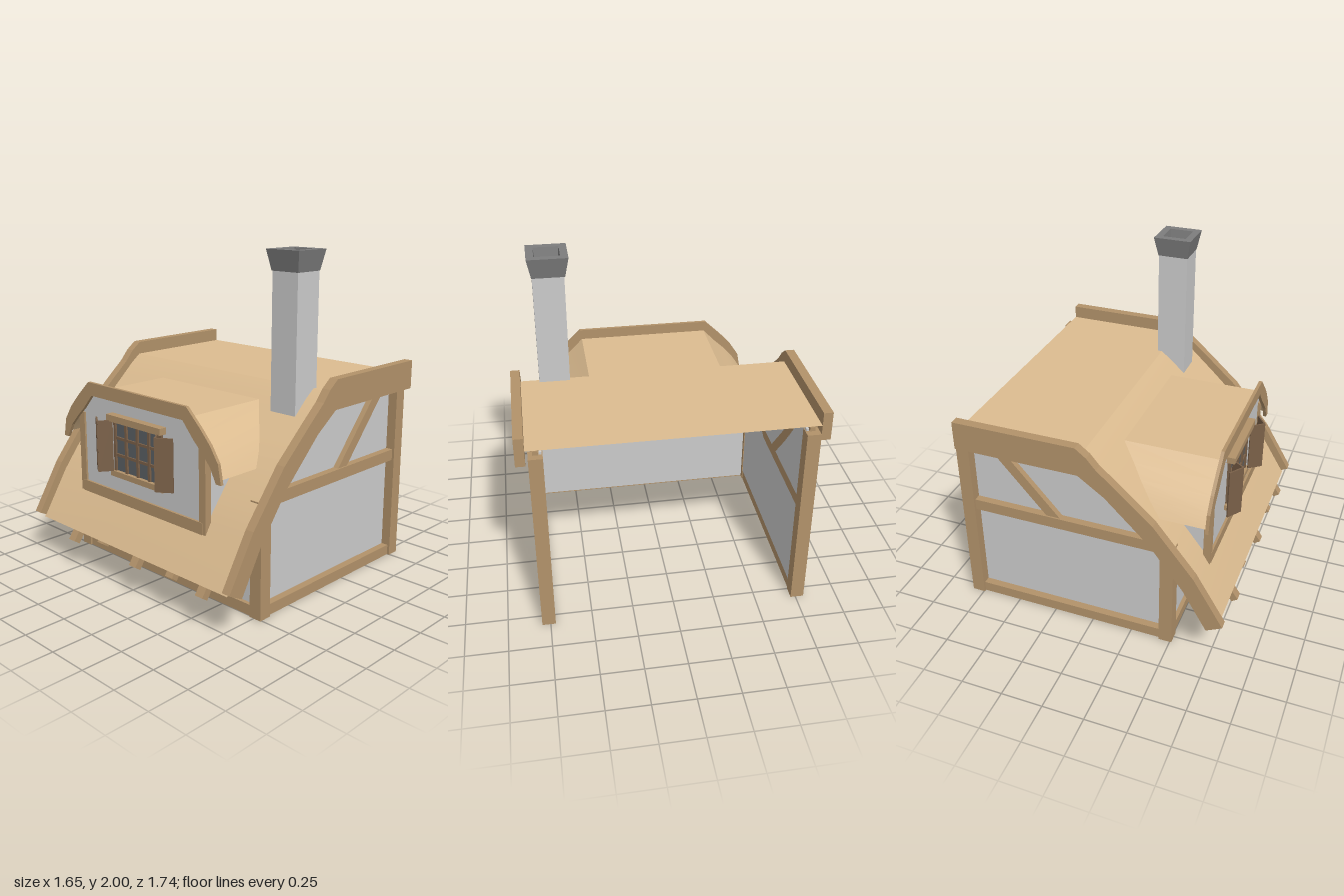
import * as THREE from 'three';

const mat = (color, flat = true) =>
  new THREE.MeshStandardMaterial({ color, flatShading: flat, side: THREE.DoubleSide });
const WALL = mat(0xcccccc), WOOD = mat(0xb2926a), ROOF = mat(0xdcbc90, false);
const DARKWOOD = mat(0x7a6048), CAP = mat(0x7d7d7d), GLASS = mat(0x5a6064);

// Main roof line in x, y from ridge to eave
const ROOF_LINE = [[0.03, 1.215], [-0.035, 1.165], [-0.11, 1.095], [-0.25, 0.965],
  [-0.40, 0.82], [-0.52, 0.67], [-0.62, 0.54], [-0.795, 0.255]];

// x of the main roof at a given height
function roofX(y) {
  for (let i = 1; i < ROOF_LINE.length; i++) {
    const [xa, ya] = ROOF_LINE[i - 1], [xb, yb] = ROOF_LINE[i];
    if (y >= yb) return xa + (xb - xa) * (ya - y) / (ya - yb);
  }
  return -0.795;
}

function mesh(parent, name, geometry, material) {
  const m = new THREE.Mesh(geometry, material);
  m.name = name;
  parent.add(m);
  return m;
}

function box(parent, name, material, x0, x1, y0, y1, z0, z1) {
  const m = mesh(parent, name, new THREE.BoxGeometry(x1 - x0, y1 - y0, Math.abs(z1 - z0)), material);
  m.position.set((x0 + x1) / 2, (y0 + y1) / 2, (z0 + z1) / 2);
  return m;
}

function extrude(points, depth) {
  const shape = new THREE.Shape(points.map(([a, b]) => new THREE.Vector2(a, b)));
  return new THREE.ExtrudeGeometry(shape, { depth, bevelEnabled: false });
}

// Outline in x, y with thickness along z
function slabZ(parent, name, material, points, z0, z1) {
  return mesh(parent, name, extrude(points, Math.abs(z1 - z0)).translate(0, 0, Math.min(z0, z1)), material);
}

// Outline in z, y with thickness along x
function slabX(parent, name, material, points, x0, x1) {
  return mesh(parent, name, extrude(points, x1 - x0).rotateY(-Math.PI / 2).translate(x1, 0, 0), material);
}

// Thin sheet between two rows of points
function sheet(parent, name, material, rowA, rowB) {
  const index = [], n = rowA.length;
  for (let i = 0; i < n - 1; i++) index.push(i, i + 1, n + i, i + 1, n + i + 1, n + i);
  const g = new THREE.BufferGeometry();
  g.setAttribute('position', new THREE.Float32BufferAttribute([...rowA, ...rowB].flat(), 3));
  g.setIndex(index);
  g.computeVertexNormals();
  return mesh(parent, name, g, material);
}

function gable(s) {
  const g = new THREE.Group();
  g.name = s > 0 ? 'frontGable' : 'backGable';
  const inner = 0.725 * s, outer = 0.785 * s;
  slabZ(g, 'gablePanel', WALL, [[-0.47, 0.01], [0.78, 0.01], [0.78, 1.2], [0.02, 1.2],
    [-0.11, 1.085], [-0.40, 0.81], [-0.47, 0.72]], inner, 0.74 * s);
  box(g, 'eavePost', WOOD, -0.51, -0.43, 0, 0.69, 0.72 * s, 0.8 * s);
  box(g, 'ridgePost', WOOD, 0.745, 0.825, 0, 1.185, 0.72 * s, 0.8 * s);
  box(g, 'postTenon', WOOD, 0.75, 0.785, 1.185, 1.21, 0.745 * s, 0.775 * s);
  box(g, 'sillBeam', WOOD, -0.44, 0.75, 0, 0.065, inner, outer);
  box(g, 'middleBeam', WOOD, -0.44, 0.75, 0.645, 0.715, inner, outer);
  slabZ(g, 'brace', WOOD, [[0.19, 0.71], [0.275, 0.71], [0.66, 1.15], [0.575, 1.15]], inner, 0.775 * s);
  // Curved board along the roof edge
  slabZ(g, 'bargeBoard', WOOD, [[0.785, 1.295], [0.035, 1.295], [-0.03, 1.245], [-0.085, 1.18],
    [-0.2, 1.08], [-0.41, 0.89], [-0.65, 0.59], [-0.83, 0.29], [-0.735, 0.24], [-0.59, 0.49],
    [-0.39, 0.755], [-0.13, 1.01], [0.025, 1.12], [0.785, 1.12]], 0.815 * s, 0.87 * s);
  return g;
}

function dormer() {
  const g = new THREE.Group();
  g.name = 'dormer';
  const C = -0.028; // middle of the dormer in z
  const side = [[0.42, 1.12], [0.502, 1.035], [0.567, 0.975], [0.632, 0.9], [0.682, 0.825]];
  const X = -0.665;
  const front = ([u, y], s) => [X, y, C + s * u];
  const back = ([u, y], s) => [roofX(y), y, C + s * u];
  // Roof: flat top and two curved sides
  sheet(g, 'dormerTop', ROOF, [front(side[0], -1), front(side[0], 1)], [back(side[0], -1), back(side[0], 1)]);
  for (const s of [-1, 1]) {
    sheet(g, 'dormerRoofSide', ROOF, side.map(p => front(p, s)), side.map(p => back(p, s)));
    const z = C + s * 0.53;
    slabZ(g, 'dormerCheek', WALL, [[-0.635, 0.51], [-0.635, 0.99], [roofX(0.99), 0.99],
      [roofX(0.81), 0.81], [roofX(0.67), 0.67]], z - 0.005, z + 0.005);
    box(g, 'dormerPost', WOOD, -0.662, -0.62, 0.47, 0.98, z - 0.025, z + 0.025);
  }
  // Arched board on the dormer's face
  const outer = [[0.43, 1.185], [0.54, 1.08], [0.61, 1.005], [0.67, 0.915], [0.692, 0.8]];
  const inner = [[0.655, 0.8], [0.61, 0.885], [0.545, 0.955], [0.485, 1.01], [0.4, 1.105]];
  const half = [...outer, ...inner];
  const mirrored = half.map(([u, y]) => [-u, y]).reverse();
  slabX(g, 'dormerArch', WOOD, [...half, ...mirrored].map(([u, y]) => [C + u, y]), -0.682, -0.662);
  slabX(g, 'dormerWall', WALL, [[-0.53, 0.5], [0.53, 0.5], [0.53, 0.99], [0.42, 1.115],
    [-0.42, 1.115], [-0.53, 0.99]].map(([u, y]) => [C + u, y]), -0.65, -0.635);
  box(g, 'dormerSill', WOOD, -0.665, -0.62, 0.47, 0.54, C - 0.53, C + 0.53);

  // Window with glazing bars
  const z0 = -0.235, z1 = 0.17;
  box(g, 'windowPane', GLASS, -0.656, -0.64, 0.67, 0.99, z0, z1);
  box(g, 'windowSill', WOOD, -0.68, -0.64, 0.64, 0.675, z0 - 0.03, z1 + 0.03);
  box(g, 'windowLintel', WOOD, -0.7, -0.64, 0.985, 1.025, z0 - 0.035, z1 + 0.035);
  for (let i = 0; i <= 4; i++) {
    const z = z0 + (z1 - z0) * i / 4;
    box(g, 'windowBar', DARKWOOD, -0.668, -0.65, 0.67, 0.99, z - 0.009, z + 0.009);
  }
  for (const y of [0.775, 0.88]) box(g, 'windowCrossBar', DARKWOOD, -0.666, -0.65, y - 0.008, y + 0.008, z0, z1);

  // Folded shutters, two leaves on each side
  for (const path of [[[-0.68, -0.235], [-0.755, -0.285], [-0.695, -0.37]],
    [[-0.68, 0.17], [-0.755, 0.225], [-0.695, 0.31]]]) {
    for (let i = 0; i < 2; i++) {
      const [xa, za] = path[i], [xb, zb] = path[i + 1];
      const leaf = mesh(g, 'shutterLeaf', new THREE.BoxGeometry(0.01, 0.315, Math.hypot(xb - xa, zb - za)), DARKWOOD);
      leaf.position.set((xa + xb) / 2, 0.8325, (za + zb) / 2);
      leaf.rotation.y = Math.atan2(xb - xa, zb - za);
    }
  }
  return g;
}

export function createModel() {
  const house = new THREE.Group();
  house.name = 'halfHouse';
  house.add(gable(1), gable(-1), dormer());

  // Low wall under the eave
  box(house, 'eaveWall', WALL, -0.475, -0.46, 0.01, 0.71, -0.74, 0.74);
  box(house, 'eaveSill', WOOD, -0.5, -0.465, 0, 0.065, -0.72, 0.72);

  // Roof: flat top and curved slope
  const row = (pts, z) => pts.map(([x, y]) => [x, y, z]);
  const flat = [[0.785, 1.215], [0.03, 1.215]];
  sheet(house, 'roofTop', ROOF, row(flat, -0.82), row(flat, 0.82));
  sheet(house, 'roofSlope', ROOF, row(ROOF_LINE, -0.82), row(ROOF_LINE, 0.82));

  // Rafter tails under the eave
  for (const [z, x, y] of [[0.635, -0.805, 0.19], [0.38, -0.79, 0.215], [0.085, -0.805, 0.19],
    [-0.24, -0.78, 0.23], [-0.488, -0.81, 0.185]]) {
    const dx = -0.445 - x, dy = 0.725 - y;
    const r = mesh(house, 'rafter', new THREE.BoxGeometry(Math.hypot(dx, dy), 0.045, 0.057), WOOD);
    r.position.set(x + dx / 2, y + dy / 2, z);
    r.rotation.z = Math.atan2(dy, dx);
  }

  // Chimney with a flared hollow cap
  box(house, 'chimneyStack', WALL, -0.127, 0.058, 1.0, 1.885, 0.52, 0.702);
  const profile = [[0.095, 1.88], [0.118, 2], [0.074, 2], [0.062, 1.9], [0, 1.9]]
    .map(([h, y]) => new THREE.Vector2(h * Math.SQRT2, y));
  const cap = mesh(house, 'chimneyCap', new THREE.LatheGeometry(profile, 4, Math.PI / 4), CAP);
  cap.position.set(-0.035, 0, 0.61);
  return house;
}
